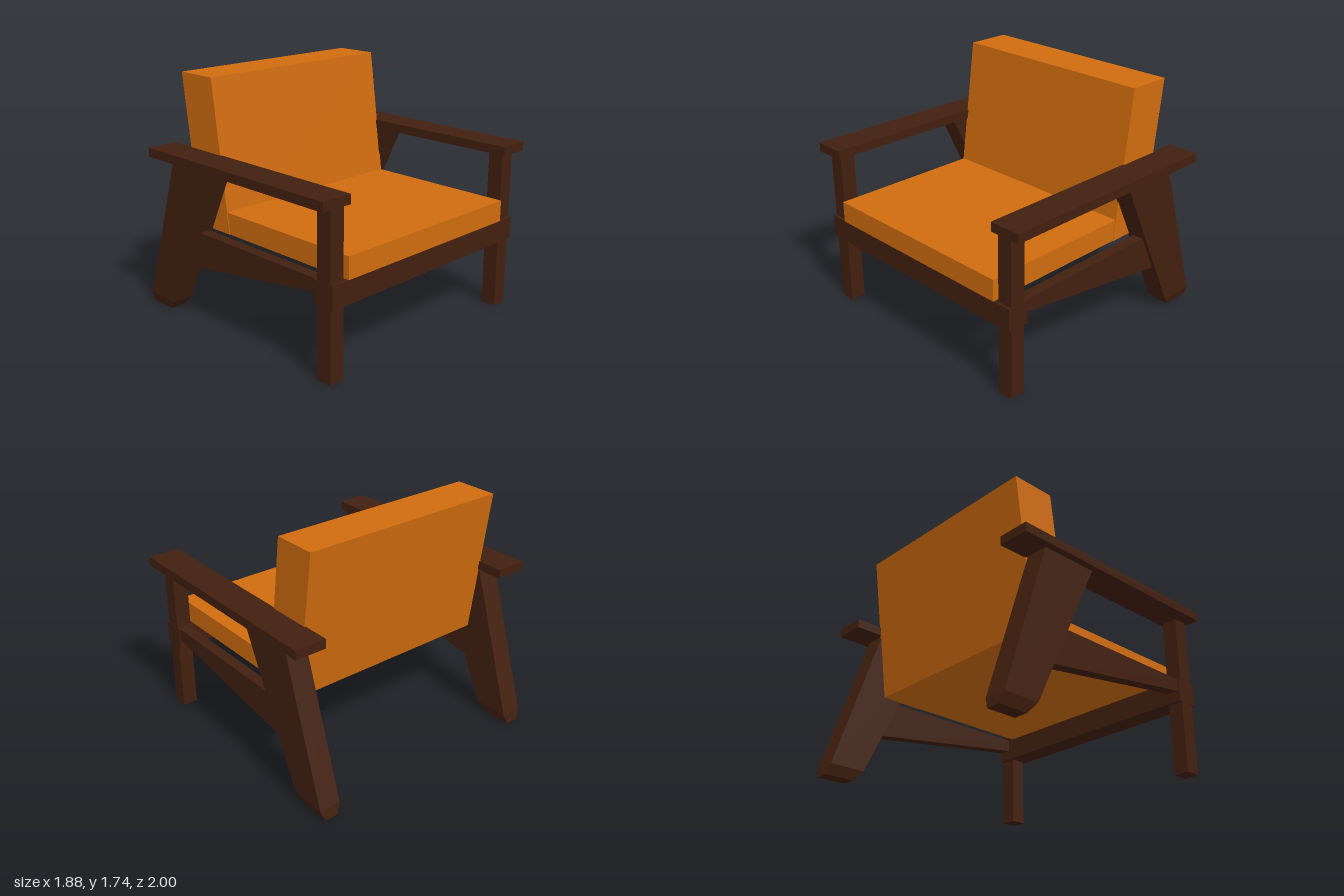
import * as THREE from 'three';

const wood = new THREE.MeshStandardMaterial({ color: 0x42200f, flatShading: true });
const fabric = new THREE.MeshStandardMaterial({ color: 0xd06c0e, flatShading: true });

// Box given by its minimum and maximum corners
function box(name, material, [x0, y0, z0], [x1, y1, z1]) {
  const mesh = new THREE.Mesh(new THREE.BoxGeometry(x1 - x0, y1 - y0, z1 - z0), material);
  mesh.position.set((x0 + x1) / 2, (y0 + y1) / 2, (z0 + z1) / 2);
  mesh.name = name;
  return mesh;
}

// Side profile in x/y, extruded between two z values
function slab(name, material, points, z0, z1) {
  const shape = new THREE.Shape(points.map(([x, y]) => new THREE.Vector2(x, y)));
  const geometry = new THREE.ExtrudeGeometry(shape, { depth: z1 - z0, bevelEnabled: false });
  geometry.translate(0, 0, z0);
  const mesh = new THREE.Mesh(geometry, material);
  mesh.name = name;
  return mesh;
}

// Slanted rear leg with a foot that narrows towards the ground
function rearLeg(zc) {
  const leg = new THREE.Group();
  leg.name = 'rearLeg';
  const half = 0.079, ankle = 0.075, inset = 0.028;
  leg.add(slab('rearLegPost', wood,
    [[-0.93, ankle], [-0.665, ankle], [-0.145, 1.16], [-0.58, 1.16]], zc - half, zc + half));
  const foot = slab('rearFoot', wood,
    [[-0.945, 0], [-0.73, 0], [-0.665, ankle], [-0.93, ankle]], zc - half, zc + half);
  const p = foot.geometry.attributes.position;
  for (let i = 0; i < p.count; i++) {
    if (p.getY(i) < 0.01) p.setZ(i, p.getZ(i) - Math.sign(p.getZ(i) - zc) * inset);
  }
  foot.geometry.computeVertexNormals();
  leg.add(foot);
  return leg;
}

export function createModel() {
  const chair = new THREE.Group();
  chair.name = 'armchair';

  // Frame sides
  for (const s of [1, -1]) {
    const span = (a, b) => (s > 0 ? [a, b] : [-b, -a]);
    const [a0, a1] = span(0.77, 1);
    chair.add(box('armrest', wood, [-0.8, 1.155, a0], [0.94, 1.22, a1]));
    const [l0, l1] = span(0.796, 0.908);
    chair.add(box('frontLeg', wood, [0.795, 0, l0], [0.908, 1.16, l1]));
    const [r0, r1] = span(0.82, 0.9);
    chair.add(slab('sideRail', wood,
      [[-0.56, 0.384], [0.8, 0.588], [0.8, 0.672], [-0.56, 0.672]], r0, r1));
    chair.add(rearLeg(s > 0 ? 0.873 : -0.851));
  }

  // Rail joining the front legs
  chair.add(box('frontRail', wood, [0.77, 0.51, -0.911], [0.93, 0.672, 0.911]));

  // Cushions
  chair.add(box('seatCushion', fabric, [-0.4, 0.672, -0.775], [0.932, 0.826, 0.775]));
  chair.add(slab('backCushion', fabric,
    [[-0.525, 0.672], [-0.204, 0.672], [-0.35, 1.742], [-0.672, 1.742]], -0.78, 0.78));

  return chair;
}
